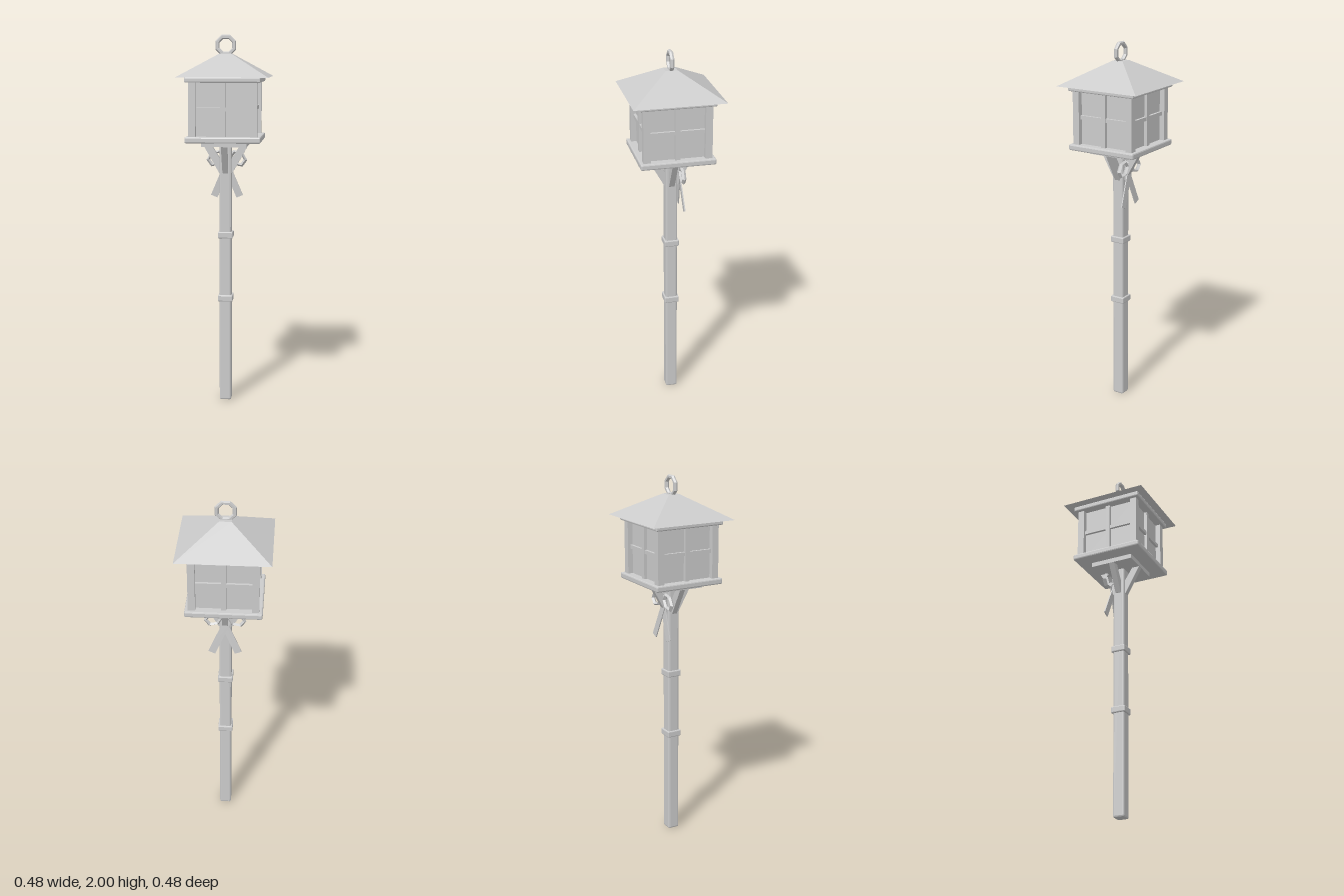
import * as THREE from 'three';
import { RoundedBoxGeometry } from 'three/addons/geometries/RoundedBoxGeometry.js';

const grey = new THREE.MeshStandardMaterial({ color: 0xcccccc, flatShading: true });

export function createModel() {
  const model = new THREE.Group();

  function add(name, geometry, x = 0, y = 0, z = 0, parent = model) {
    const mesh = new THREE.Mesh(geometry, grey);
    mesh.name = name;
    mesh.position.set(x, y, z);
    parent.add(mesh);
    return mesh;
  }

  // Box given by its bottom and top heights, with chamfered edges if bevel > 0
  function slab(name, half, bottom, top, bevel = 0) {
    const size = [half * 2, top - bottom, half * 2];
    const geometry = bevel ? new RoundedBoxGeometry(...size, 1, bevel) : new THREE.BoxGeometry(...size);
    return add(name, geometry, 0, (bottom + top) / 2, 0);
  }

  // Post and its bands
  slab('post', 0.032, 0, 1.42, 0.009);
  slab('lowerBand', 0.04, 0.56, 0.595, 0.005);
  slab('upperBand', 0.04, 0.91, 0.945, 0.005);

  // Lantern housing
  slab('supportPlate', 0.12, 1.412, 1.44);
  slab('bottomPlate', 0.198, 1.437, 1.469, 0.007);
  slab('glassBox', 0.152, 1.46, 1.755);
  slab('topPlate', 0.198, 1.75, 1.778, 0.006);

  // Roof: four-sided truncated pyramid
  const roof = new THREE.CylinderGeometry(0.031 * Math.SQRT2, 0.24 * Math.SQRT2, 0.122, 4);
  roof.rotateY(Math.PI / 4);
  add('roof', roof, 0, 1.838, 0);

  // Hanging ring
  const ring = add('hangingRing', new THREE.TorusGeometry(0.048, 0.0115, 6, 8), 0, 1.942, 0);
  ring.rotation.z = Math.PI / 8;

  // Diagonal brace outline, in the plane of one side
  const braceShape = new THREE.Shape([
    new THREE.Vector2(0.12, 1.413),
    new THREE.Vector2(0.077, 1.413),
    new THREE.Vector2(0.028, 1.335),
    new THREE.Vector2(0.028, 1.265),
    new THREE.Vector2(0.036, 1.265),
  ]);
  const braceGeometry = new THREE.ExtrudeGeometry(braceShape, { depth: 0.03, bevelEnabled: false });
  braceGeometry.translate(0, 0, -0.015);

  // Four identical sides: corner post, window bars and brace
  for (let i = 0; i < 4; i++) {
    const side = new THREE.Group();
    side.name = 'side' + (i + 1);
    side.rotation.y = (i * Math.PI) / 2;
    model.add(side);
    add('cornerPost', new THREE.BoxGeometry(0.037, 0.29, 0.037), 0.1615, 1.61, 0.1615, side);
    add('verticalBar', new THREE.BoxGeometry(0.026, 0.288, 0.026), 0, 1.61, 0.156, side);
    add('horizontalBar', new THREE.BoxGeometry(0.29, 0.02, 0.02), 0, 1.613, 0.156, side);
    add('brace', braceGeometry, 0, 0, 0, side);
  }

  // Ribbon bow on the back of the post
  const bow = new THREE.Group();
  bow.name = 'bow';
  model.add(bow);
  add('knot', new RoundedBoxGeometry(0.036, 0.04, 0.028, 1, 0.006), 0, 1.35, -0.046, bow);
  const loopGeometry = new THREE.TorusGeometry(0.044, 0.011, 4, 6);
  loopGeometry.rotateZ(Math.PI / 6);
  for (const s of [-1, 1]) {
    const loop = add('bowLoop', loopGeometry, s * 0.06, 1.338, -0.052, bow);
    loop.scale.y = 0.8;
    loop.rotation.z = -s * 0.62;
    const tail = add('ribbonTail', new THREE.BoxGeometry(0.038, 0.22, 0.006), s * 0.027, 1.23, -0.053 - s * 0.002, bow);
    tail.rotation.set(0.06, 0, s * 0.4);
  }

  return model;
}
